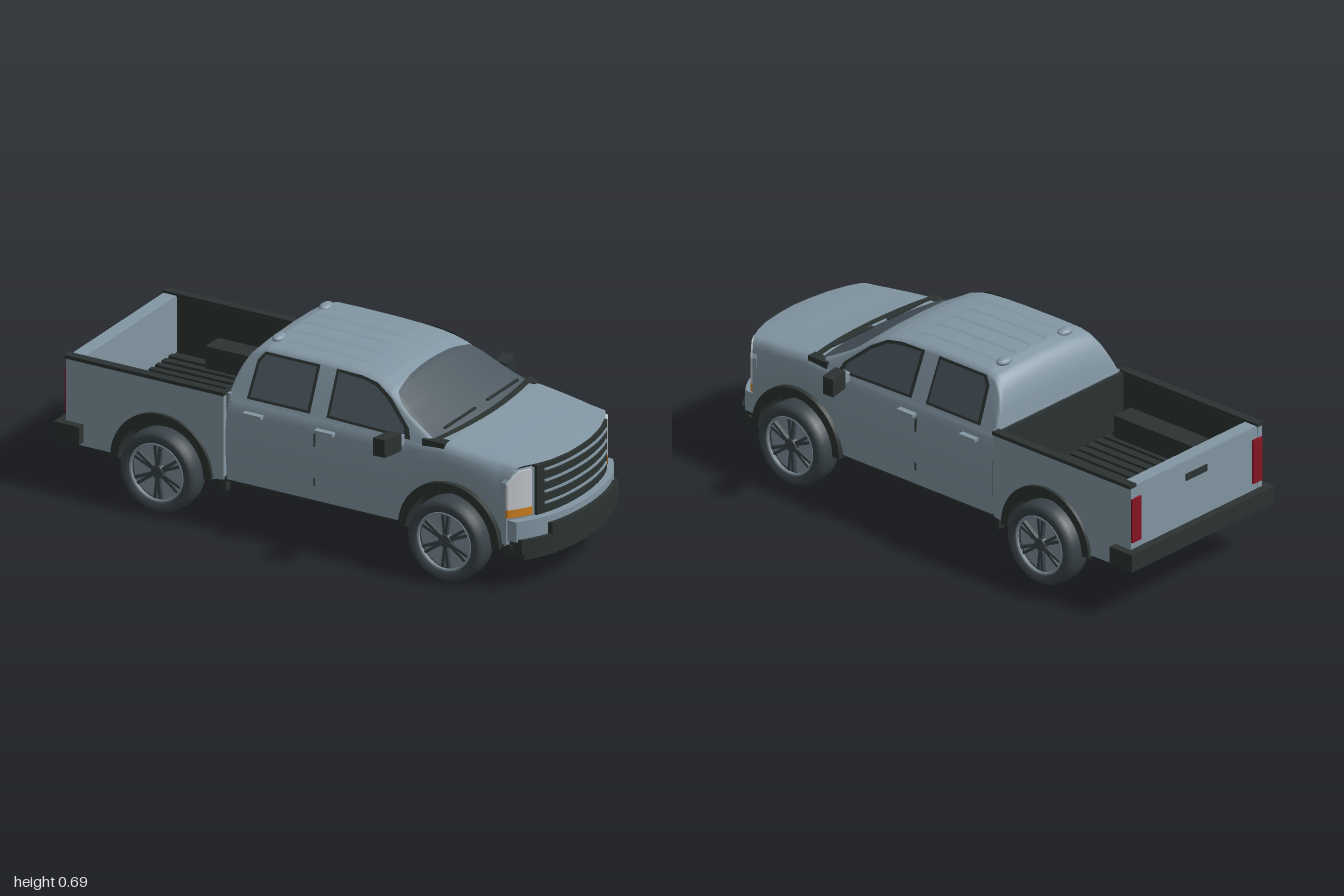
import * as THREE from 'three';

const make = (name, color, side = THREE.FrontSide) => {
  const m = new THREE.MeshStandardMaterial({ color, side });
  m.name = name;
  return m;
};

export function createModel() {
  const truck = new THREE.Group();
  truck.name = 'pickupTruck';
  const paint = make('paint', 0x8296a3, THREE.DoubleSide);
  const trim = make('trim', 0x2b3331, THREE.DoubleSide);
  const glass = make('glass', 0x4a565e, THREE.DoubleSide);
  const rubber = make('rubber', 0x3a4348);
  const steel = make('steel', 0x7f909b);
  const lamp = make('lamp', 0xc6cacf);
  const amber = make('amber', 0xcf8020);
  const red = make('red', 0x861624);

  const add = (name, geo, mat, parent = truck) => {
    const mesh = new THREE.Mesh(geo, mat);
    mesh.name = name;
    parent.add(mesh);
    return mesh;
  };
  // box given by its limits
  const box = (name, mat, x0, x1, y0, y1, z0, z1) => {
    const g = new THREE.BoxGeometry(x1 - x0, y1 - y0, z1 - z0);
    g.translate((x0 + x1) / 2, (y0 + y1) / 2, (z0 + z1) / 2);
    return add(name, g, mat);
  };
  // the same box on both sides of the truck
  const pair = (name, mat, x0, x1, y0, y1, z0, z1) => {
    box(name, mat, x0, x1, y0, y1, z0, z1);
    box(name, mat, x0, x1, y0, y1, -z1, -z0);
  };
  // smooth skin through rows of points
  const loft = (rows) => {
    const n = rows[0].length, index = [];
    for (let i = 0; i < rows.length - 1; i++)
      for (let j = 0; j < n - 1; j++) {
        const a = i * n + j, b = a + n;
        index.push(a, a + 1, b, b, a + 1, b + 1);
      }
    const g = new THREE.BufferGeometry();
    g.setAttribute('position', new THREE.Float32BufferAttribute(rows.flat(2), 3));
    g.setIndex(index);
    g.computeVertexNormals();
    return g;
  };
  // piecewise linear curve
  const curve = (pts, x) => {
    if (x <= pts[0][0]) return pts[0][1];
    for (let i = 1; i < pts.length; i++)
      if (x <= pts[i][0]) {
        const [x0, y0] = pts[i - 1], [x1, y1] = pts[i];
        return y0 + (y1 - y0) * (x - x0) / (x1 - x0);
      }
    return pts[pts.length - 1][1];
  };
  const range = (a, b, n) => Array.from({ length: n + 1 }, (_, i) => a + (b - a) * i / n);

  const axles = [-0.57, 0.615], axleY = 0.16, archR = 0.185;
  const noseX = (z) => 0.945 - 0.62 * z * z - 2.9 * z ** 4;

  // lower cab, wings and bonnet
  const sill = (x) => {
    const d = archR ** 2 - (x - axles[1]) ** 2;
    return d > 0 ? Math.max(0.17, axleY + Math.sqrt(d)) : 0.17;
  };
  const deck = (x) => curve([[0.5, 0.5], [0.58, 0.502], [0.75, 0.482], [0.88, 0.466], [0.945, 0.455]], x);
  const half = [[0.01, 0], [0, 0.3], [0, 0.6], [0.008, 0.8], [0.014, 0.88], [0.025, 0.95], [0.037, 0.985], [0.055, 1], [0.1, 1.008], [0.17, 1.012], [0.26, 1.015]];
  const section = [...half.map((p) => [1, ...p]), [0, 0, 1.02], ...half.map((p) => [-1, ...p]).reverse()];
  add('cabAndBonnet', loft(range(-0.31, 0.945, 90).map((X) => section.map(([s, inset, f]) => {
    const w = 0.345 - 0.01 * Math.max(0, (X - 0.6) / 0.345);
    const z = s * (w - inset);
    const x = X < 0.5 ? X : 0.5 + (X - 0.5) * (noseX(z) - 0.5) / 0.445;
    const b = sill(x);
    return [x, b + (deck(x) - b) * f, z];
  }))), paint);
  box('cabBackPanel', paint, -0.312, -0.3, 0.17, 0.5, -0.33, 0.33);

  // upper cab
  const roofY = (x) => curve([[-0.31, 0.49], [-0.3, 0.56], [-0.285, 0.61], [-0.265, 0.645], [-0.24, 0.667], [-0.2, 0.68], [-0.1, 0.682], [0.05, 0.68], [0.15, 0.676], [0.23, 0.667], [0.28, 0.657], [0.33, 0.638], [0.45, 0.565], [0.58, 0.487]], x);
  const sideZ = (y) => 0.328 - (y - 0.48) * 0.45;
  const roofPoint = (X, s, lift = 0) => {
    const H = roofY(X), c = Math.min(0.03, (H - 0.48) * 0.3);
    const zt = sideZ(H - c), mid = (H - c + 0.48) / 2, u = Math.abs(s);
    const zs = [0, zt * 0.5, zt - 0.03, zt - 0.01, zt, sideZ(mid), 0.328];
    const ys = [H, H - c * 0.1, H - c * 0.4, H - c * 0.62, H - c, mid, 0.48];
    const z = Math.sign(s) * curve(zs.map((v, i) => [i, v]), u);
    const y = curve(ys.map((v, i) => [i, v]), u);
    return [X - 0.3 * z * z * Math.max(0, Math.min(1, (X - 0.2) / 0.3)) + lift, y + lift, z];
  };
  add('upperCab', loft(range(-0.31, 0.58, 89).map((X) => range(-6, 6, 12).map((s) => roofPoint(X, s)))), paint);
  add('windscreen', loft(range(0, 1, 16).map((t) => range(-3, 3, 12).map((s) => {
    const start = 0.315 + 0.07 * (s / 3) ** 2;
    return roofPoint(start + (0.568 - start) * t, s, 0.004);
  }))), glass);
  add('cowl', loft([0.558, 0.57, 0.585].map((X) => range(-4, 4, 16).map((s) => {
    const [x, y, z] = roofPoint(X, s, 0.006);
    return [x, Math.max(y, deck(x) + 0.01), z];
  }))), trim);
  for (const s of [1, -1]) {
    const wiper = box('wiper', trim, 0.53, 0.54, 0.519, 0.525, s > 0 ? 0.04 : -0.25, s > 0 ? 0.25 : -0.04);
    wiper.position.y = 0.003;
  }

  // pressed ribs and small caps on the roof
  for (const z of [-0.16, -0.08, 0, 0.08, 0.16])
    add('roofRib', loft(range(-0.19, 0.18, 12).map((x) => [-1, -0.5, 0.5, 1].map((k) =>
      [x, roofY(x) - 0.012 * (z / 0.2) ** 2 + (Math.abs(k) < 1 ? 0.004 : -0.002), z + k * 0.018]))), paint);
  for (const z of [-0.16, 0.16])
    add('roofCap', new THREE.SphereGeometry(1, 16, 10).scale(0.022, 0.014, 0.035), paint).position.set(-0.2, 0.676, z);

  // side windows, laid on the sloping cab side
  const pane = (name, pts, mat, s, lift) => {
    const g = new THREE.ShapeGeometry(new THREE.Shape(pts.map((p) => new THREE.Vector2(...p))));
    const p = g.attributes.position;
    for (let i = 0; i < p.count; i++) p.setZ(i, s * (sideZ(p.getY(i)) + lift));
    g.computeVertexNormals();
    add(name, g, mat);
  };
  const rearFrame = [[-0.235, 0.493], [0.025, 0.493], [0.025, 0.655], [-0.2, 0.655], [-0.225, 0.625]];
  const rearPane = [[-0.222, 0.503], [0.014, 0.503], [0.014, 0.647], [-0.193, 0.647], [-0.213, 0.62]];
  const frontFrame = [[0.093, 0.493], [0.44, 0.487], [0.425, 0.522], [0.33, 0.605], [0.265, 0.642], [0.2, 0.653], [0.093, 0.655]];
  const frontPane = [[0.105, 0.503], [0.415, 0.497], [0.405, 0.523], [0.32, 0.597], [0.26, 0.632], [0.2, 0.643], [0.105, 0.647]];
  const doorParts = (s) => {
    pane('rearWindowFrame', rearFrame, trim, s, 0.003);
    pane('rearWindow', rearPane, glass, s, 0.006);
    pane('frontWindowFrame', frontFrame, trim, s, 0.003);
    pane('frontWindow', frontPane, glass, s, 0.006);
  };
  doorParts(1);
  doorParts(-1);
  pair('doorHandle', paint, -0.235, -0.16, 0.437, 0.449, 0.33, 0.356);
  pair('doorHandle', paint, 0.06, 0.135, 0.437, 0.449, 0.33, 0.356);
  pair('doorSeam', trim, 0.053, 0.057, 0.38, 0.43, 0.335, 0.347);
  pair('doorSeam', trim, 0.053, 0.057, 0.23, 0.26, 0.335, 0.347);
  pair('cowlCorner', trim, 0.49, 0.58, 0.465, 0.503, 0.29, 0.33);

  // door mirrors
  for (const s of [1, -1]) {
    const g = new THREE.BoxGeometry(0.05, 0.068, 0.085, 1, 1, 4);
    const p = g.attributes.position;
    for (let i = 0; i < p.count; i++) p.setX(i, p.getX(i) * (1 - 2 * Math.abs(p.getZ(i)) ** 1.2) - s * p.getZ(i) * 0.2);
    g.computeVertexNormals();
    add('mirror', g, trim).position.set(0.39, 0.486, s * 0.402);
  }
  pair('mirrorArm', paint, 0.385, 0.415, 0.463, 0.5, 0.32, 0.365);

  // plates wrapped round the curved nose, from depth d0 to d1
  const wrap = (name, mat, z0, z1, y0, y1, d0, d1) => {
    const g = new THREE.BoxGeometry(d1 - d0, y1 - y0, z1 - z0, 1, 6, 24);
    g.translate((d0 + d1) / 2, (y0 + y1) / 2, (z0 + z1) / 2);
    const p = g.attributes.position;
    for (let i = 0; i < p.count; i++) {
      const z = p.getZ(i), over = Math.max(0, Math.abs(z) - 0.27);
      p.setX(i, p.getX(i) + noseX(z));
      p.setY(i, Math.min(p.getY(i), 0.46 - 12 * over * over));
    }
    g.computeVertexNormals();
    add(name, g, mat);
  };
  wrap('nosePanel', paint, -0.335, 0.335, 0.17, 0.452, -0.02, 0);
  wrap('grille', trim, -0.24, 0.24, 0.27, 0.46, -0.01, 0.009);
  for (const y of [0.31, 0.353, 0.395, 0.438]) wrap('grilleBar', paint, -0.21, 0.21, y - 0.004, y + 0.004, 0.006, 0.015);
  for (const s of [1, -1]) {
    const [a, b] = s > 0 ? [0.258, 0.337] : [-0.337, -0.258];
    wrap('headlamp', lamp, a, b, 0.309, 0.452, 0, 0.009);
    wrap('indicator', amber, a, b, 0.278, 0.309, 0, 0.01);
  }
  wrap('bumperTop', paint, -0.33, 0.33, 0.19, 0.268, -0.02, 0.035);
  wrap('bumperCentre', trim, -0.22, 0.22, 0.17, 0.243, 0, 0.052);
  wrap('frontBumper', trim, -0.325, 0.325, 0.145, 0.2, -0.04, 0.052);
  wrap('bumperLip', trim, -0.305, 0.305, 0.118, 0.15, -0.05, 0.035);

  // load bed
  const side = new THREE.Shape();
  side.moveTo(-0.968, 0.17);
  side.lineTo(axles[0] - archR, 0.17);
  side.absarc(axles[0], axleY, archR, Math.PI, 0, true);
  side.lineTo(-0.318, 0.17);
  side.lineTo(-0.318, 0.495);
  side.lineTo(-0.968, 0.495);
  const sideGeo = new THREE.ExtrudeGeometry(side, { depth: 0.02, bevelEnabled: false, curveSegments: 24 });
  add('bedSide', sideGeo, paint).position.z = 0.325;
  add('bedSide', sideGeo, paint).position.z = -0.345;
  pair('bedRail', trim, -0.97, -0.315, 0.493, 0.506, 0.318, 0.352);
  pair('bedInnerWall', trim, -0.91, -0.33, 0.27, 0.494, 0.317, 0.325);
  pair('wheelBox', trim, -0.74, -0.37, 0.27, 0.375, 0.23, 0.32);
  box('bedFrontWall', trim, -0.335, -0.32, 0.17, 0.5, -0.325, 0.325);
  box('bedFloor', trim, -0.915, -0.33, 0.265, 0.28, -0.325, 0.325);
  for (const z of range(-0.27, 0.27, 12)) box('floorRib', trim, -0.91, -0.335, 0.28, 0.289, z - 0.012, z + 0.012);
  box('tailgate', paint, -0.966, -0.912, 0.2, 0.497, -0.326, 0.326);
  box('tailgateHandle', trim, -0.972, -0.96, 0.42, 0.445, -0.055, 0.055);
  pair('tailLamp', red, -0.974, -0.966, 0.28, 0.45, 0.295, 0.343);
  box('rearBumper', trim, -1, -0.968, 0.185, 0.253, -0.375, 0.375);
  pair('rearBumperEnd', trim, -0.97, -0.895, 0.185, 0.253, 0.335, 0.375);

  // underside
  box('underside', trim, -0.97, 0.9, 0.163, 0.175, -0.27, 0.27);
  for (const [a, b] of [[-0.97, -0.75], [-0.39, 0.435], [0.795, 0.86]]) pair('undersideEdge', trim, a, b, 0.163, 0.175, 0.27, 0.335);
  pair('mudFlap', trim, -0.338, -0.312, 0.125, 0.18, 0.31, 0.34);

  // wheel parts shared by all four corners
  const V = (a) => a.map((p) => new THREE.Vector2(...p));
  const tyreGeo = new THREE.LatheGeometry(V([[0.1, -0.04], [0.112, -0.047], [0.135, -0.053], [0.148, -0.046], [0.154, -0.03], [0.156, 0], [0.154, 0.03], [0.148, 0.046], [0.135, 0.053], [0.112, 0.047], [0.106, 0.03]]), 40).rotateX(Math.PI / 2);
  const discGeo = new THREE.CylinderGeometry(0.107, 0.107, 0.06, 32).rotateX(Math.PI / 2);
  const lipGeo = new THREE.TorusGeometry(0.108, 0.006, 8, 40);
  const hubGeo = new THREE.CylinderGeometry(0.024, 0.028, 0.02, 20).rotateX(Math.PI / 2);
  const spokeGeo = new THREE.BoxGeometry(0.088, 0.011, 0.014).translate(0.06, 0, 0);
  const flare = new THREE.Shape();
  flare.absarc(0, 0, 0.208, 0, Math.PI, false);
  flare.absarc(0, 0, 0.176, Math.PI, 0, true);
  const flareGeo = new THREE.ExtrudeGeometry(flare, { depth: 0.03, bevelEnabled: false, curveSegments: 28 });
  const linerGeo = new THREE.CylinderGeometry(0.186, 0.186, 0.1, 28, 1, true, Math.PI / 2, Math.PI).rotateX(Math.PI / 2);

  for (const x of axles)
    for (const s of [1, -1]) {
      const corner = new THREE.Group();
      corner.name = 'wheelCorner';
      corner.position.set(x, axleY, 0);
      corner.rotation.y = s > 0 ? 0 : Math.PI;
      truck.add(corner);
      add('archFlare', flareGeo, trim, corner).position.z = 0.328;
      add('archLiner', linerGeo, trim, corner).position.z = 0.29;
      add('archInnerWall', new THREE.CircleGeometry(0.186, 28, 0, Math.PI), trim, corner).position.z = 0.24;
      const wheel = new THREE.Group();
      wheel.name = 'wheel';
      wheel.position.set(0, -0.004, 0.341);
      corner.add(wheel);
      add('tyre', tyreGeo, rubber, wheel);
      add('rimDisc', discGeo, steel, wheel).position.z = -0.004;
      add('rimLip', lipGeo, steel, wheel).position.z = 0.043;
      add('hub', hubGeo, rubber, wheel).position.z = 0.034;
      add('innerHub', hubGeo, rubber, wheel).position.z = -0.04;
      for (let i = 0; i < 6; i++)
        for (const k of [-1, 1]) {
          const spoke = add('spoke', spokeGeo, rubber, wheel);
          spoke.position.z = 0.033;
          spoke.rotation.z = i * Math.PI / 3 + Math.PI / 6 + k * 0.11;
        }
    }
  return truck;
}
